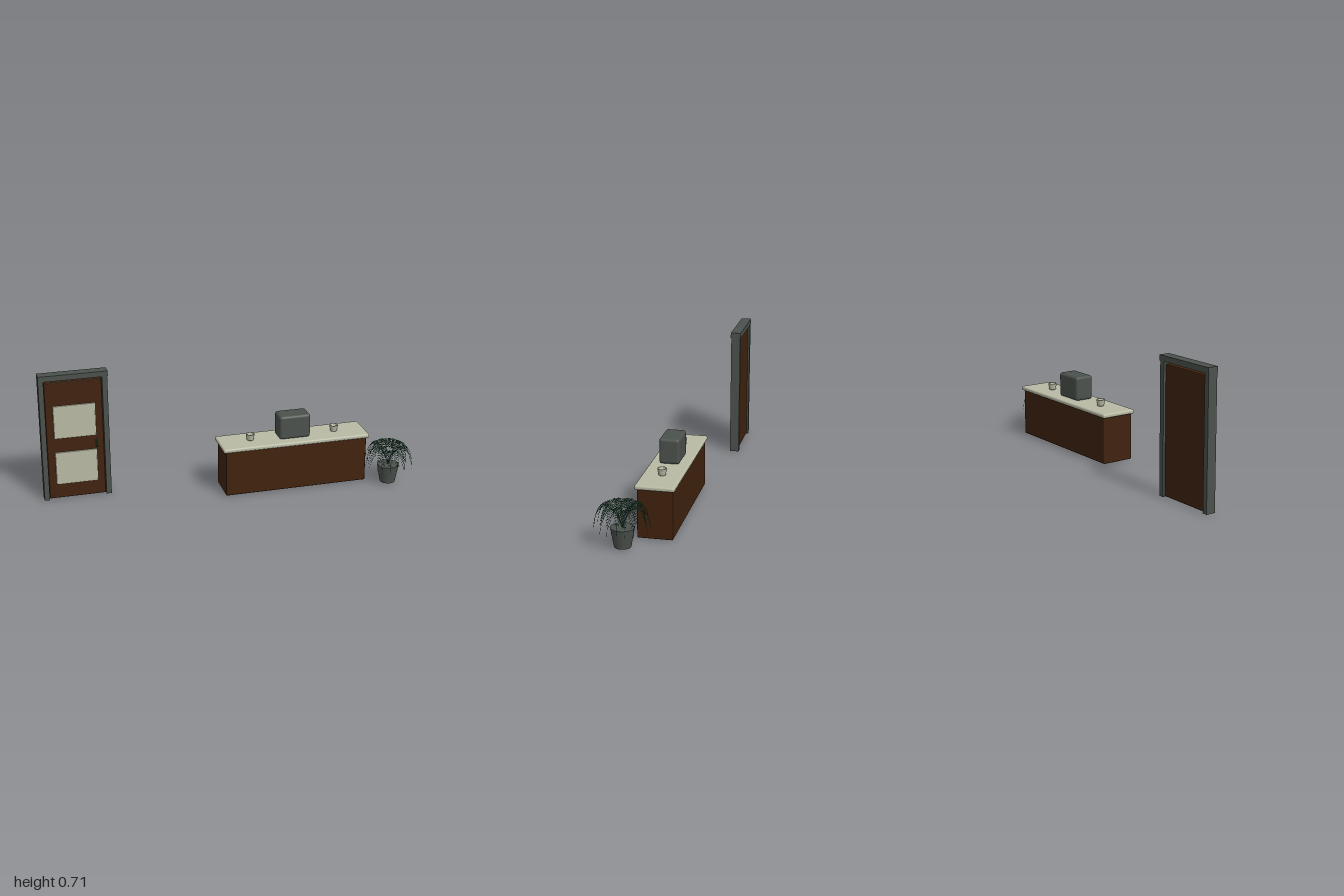
import * as THREE from 'three';
import { mergeGeometries } from 'three/addons/utils/BufferGeometryUtils.js';
import { RoundedBoxGeometry } from 'three/addons/geometries/RoundedBoxGeometry.js';

const material = (name, color, side = THREE.FrontSide) => {
  const m = new THREE.MeshStandardMaterial({ color, side });
  m.name = name;
  return m;
};

// One arching frond in the XY plane: a thin stem with drooping leaflet pairs
function frondGeometry(reach, height) {
  const curve = new THREE.CubicBezierCurve3(
    new THREE.Vector3(0.002, 0, 0),
    new THREE.Vector3(reach * 0.28, height * 1.15, 0),
    new THREE.Vector3(reach * 0.85, height * 1.5, 0),
    new THREE.Vector3(reach, 0, 0)
  );
  const stem = new THREE.TubeGeometry(curve, 16, 0.0008, 4).toNonIndexed();
  const pos = [];
  const pairs = 15;
  for (let i = 0; i < pairs; i++) {
    const f = i / (pairs - 1);
    const t = 0.27 + 0.61 * f;
    const p = curve.getPoint(t);
    const tan = curve.getTangent(t);
    const len = 0.011 + 0.011 * Math.sin(Math.PI * (0.2 + 0.75 * f));
    for (const s of [-1, 1]) {
      const along = (a, out, drop) => p.clone().addScaledVector(tan, a)
        .add(new THREE.Vector3(0, -drop, s * out));
      const tip = along(0.008, len, 0.004);
      const a = along(0.0005, len * 0.5, -0.001);
      const b = along(0.0065, len * 0.5, -0.001);
      for (const v of [p, a, b, a, tip, b]) pos.push(v.x, v.y, v.z);
    }
  }
  const leaves = new THREE.BufferGeometry();
  leaves.setAttribute('position', new THREE.Float32BufferAttribute(pos, 3));
  leaves.computeVertexNormals();
  stem.deleteAttribute('uv');
  return mergeGeometries([stem, leaves]);
}

export function createModel() {
  const root = new THREE.Group();
  root.name = 'receptionArea';
  const wood = material('dark brown wood', 0x40220e);
  const cream = material('cream', 0xb8baa4, THREE.DoubleSide);
  const grey = material('dark grey', 0x4b514c);
  const green = material('leaf green', 0x28563a, THREE.DoubleSide);

  const add = (parent, name, geometry, mat) => {
    const mesh = new THREE.Mesh(geometry, mat);
    mesh.name = name;
    parent.add(mesh);
    return mesh;
  };
  // Box given by its extents, rounded when r > 0
  const box = (parent, name, mat, [x0, x1], [y0, y1], [z0, z1], r = 0) => {
    const size = [x1 - x0, y1 - y0, z1 - z0];
    const g = r ? new RoundedBoxGeometry(...size, 3, r) : new THREE.BoxGeometry(...size);
    add(parent, name, g, mat).position.set((x0 + x1) / 2, (y0 + y1) / 2, (z0 + z1) / 2);
  };
  const group = (name) => {
    const g = new THREE.Group();
    g.name = name;
    root.add(g);
    return g;
  };

  // Door with frame, raised panels and pull handle
  const door = group('door');
  box(door, 'rightPost', grey, [-1, -0.972], [0, 0.68], [-0.223, -0.172]);
  box(door, 'leftPost', grey, [-0.663, -0.635], [0, 0.68], [-0.223, -0.172]);
  box(door, 'lintel', grey, [-1.0, -0.632], [0.68, 0.71], [-0.226, -0.169]);
  box(door, 'doorLeaf', wood, [-0.97, -0.665], [0.004, 0.667], [-0.214, -0.181], 0.004);
  box(door, 'upperPanel', cream, [-0.93, -0.705], [0.351, 0.536], [-0.183, -0.174], 0.004);
  box(door, 'lowerPanel', cream, [-0.93, -0.705], [0.086, 0.271], [-0.183, -0.174], 0.004);
  box(door, 'handle', green, [-0.709, -0.702], [0.284, 0.328], [-0.182, -0.165], 0.002);

  // Counter
  const desk = group('counter');
  box(desk, 'counterBody', wood, [-0.045, 0.751], [0.004, 0.262], [-0.141, 0.039], 0.006);
  box(desk, 'counterTop', cream, [-0.06, 0.766], [0.258, 0.281], [-0.151, 0.049], 0.009);
  box(desk, 'register', grey, [0.265, 0.439], [0.282, 0.415], [-0.104, 0.002], 0.015);

  // Open cups with a thick rim band
  const cupProfile = [
    [0, 0], [0.017, 0], [0.019, 0.003], [0.02, 0.016], [0.022, 0.019], [0.0205, 0.022],
    [0.0235, 0.026], [0.0238, 0.034], [0.0225, 0.036], [0.0185, 0.035], [0.0155, 0.006], [0, 0.006]
  ].map(([x, y]) => new THREE.Vector2(x, y));
  for (const [name, x] of [['rightCup', 0.113], ['leftCup', 0.591]]) {
    add(desk, name, new THREE.LatheGeometry(cupProfile, 28), cream).position.set(x, 0.281, -0.051);
  }

  // Potted fern
  const plant = group('pottedPlant');
  plant.position.set(0.868, 0, 0.081);
  add(plant, 'pot', new THREE.CylinderGeometry(0.06, 0.042, 0.1, 32), grey).position.y = 0.054;
  const fronds = new THREE.Group();
  fronds.name = 'fronds';
  fronds.position.y = 0.1;
  fronds.scale.x = 0.93;
  plant.add(fronds);
  const longFrond = frondGeometry(0.142, 0.118);
  const shortFrond = frondGeometry(0.115, 0.128);
  const count = 20;
  for (let i = 0; i < count; i++) {
    const frond = add(fronds, 'frond', i % 3 === 2 ? shortFrond : longFrond, green);
    frond.rotation.y = -Math.PI / 2 + (i / count) * Math.PI * 2;
  }
  return root;
}
